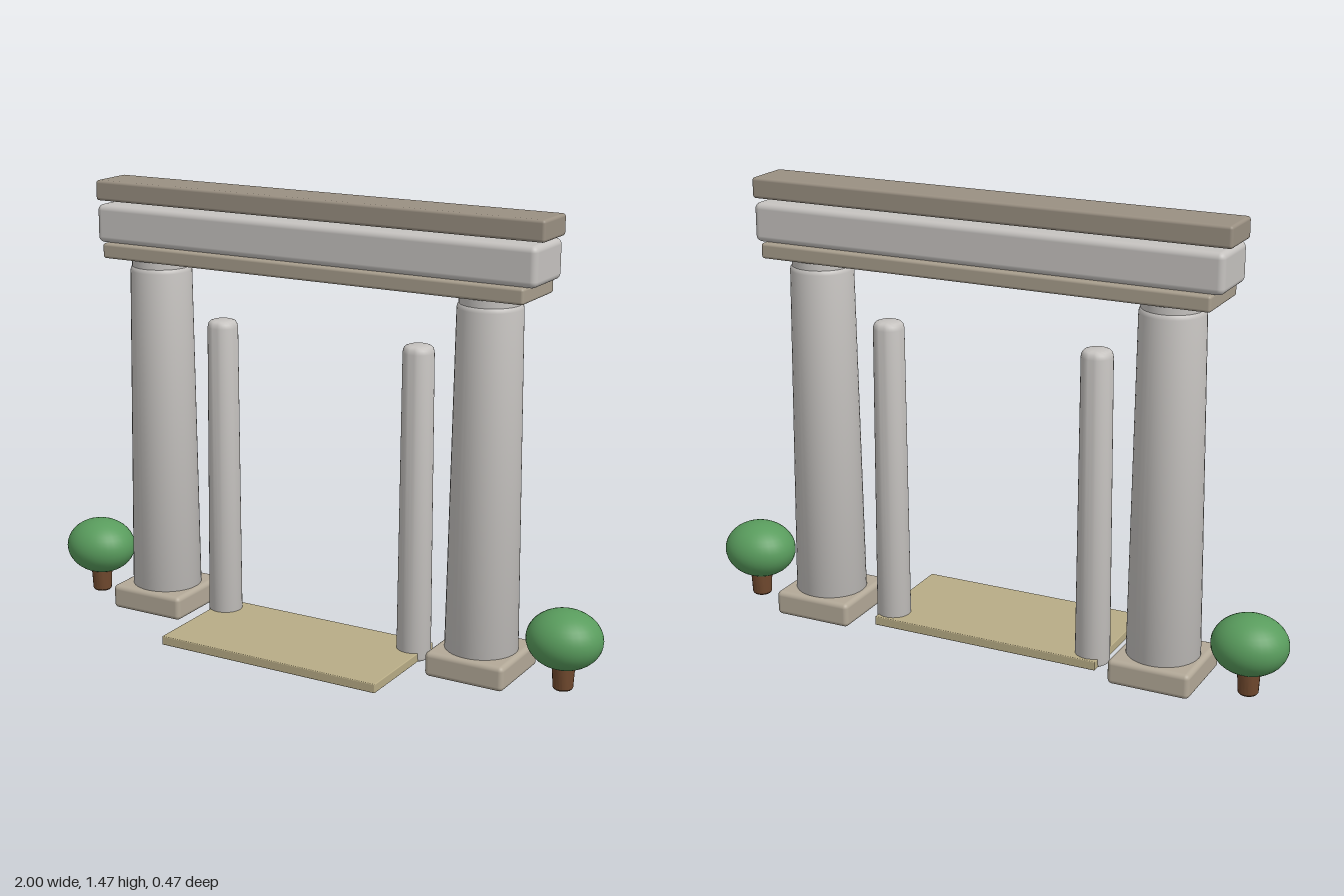
import * as THREE from 'three';
import { RoundedBoxGeometry } from 'three/addons/geometries/RoundedBoxGeometry.js';
import { toCreasedNormals } from 'three/addons/utils/BufferGeometryUtils.js';

const Z = -0.098; // centre line of the gateway

const material = (color) => new THREE.MeshStandardMaterial({ color });
const stone = material(0xc6c3c0);
const baseStone = material(0xb3a998);
const trimStone = material(0xa89e8d);
const capStone = material(0x9a9082);
const matting = material(0xb8ac86);
const bark = material(0x70492e);
const leaf = material(0x599c5d);

function part(name, geometry, mat, x, y, z) {
  const mesh = new THREE.Mesh(geometry, mat);
  mesh.name = name;
  mesh.position.set(x, y, z);
  return mesh;
}

// Soft-edged block given by its size and its bottom height
function block(name, mat, w, h, d, bottom, radius, x = 0, z = Z) {
  return part(name, new RoundedBoxGeometry(w, h, d, 3, radius), mat, x, bottom + h / 2, z);
}

// Turned shape from [radius, height] pairs, bottom to top
function turned(profile, sides) {
  const points = profile.map(([r, y]) => new THREE.Vector2(r, y));
  return toCreasedNormals(new THREE.LatheGeometry(points, sides), 0.6);
}

export function createModel() {
  const group = new THREE.Group();
  group.name = 'gateway';

  const columnShape = turned([
    [0, 0], [0.1, 0], [0.112, 0.005], [0.118, 0.017], [0.102, 1.18],
    [0.1, 1.189], [0.096, 1.194], [0.096, 1.225], [0, 1.225],
  ], 40);
  const poleShape = turned([
    [0, 0.002], [0.045, 0.002], [0.053, 0.007], [0.056, 0.018], [0.05, 1.012],
    [0.047, 1.025], [0.041, 1.032], [0.033, 1.035], [0, 1.035],
  ], 32);
  const trunkShape = turned([
    [0, 0.005], [0.028, 0.005], [0.032, 0.01], [0.036, 0.08], [0, 0.08],
  ], 20);
  const crownShape = new THREE.SphereGeometry(1, 32, 20).scale(0.122, 0.095, 0.111);

  // Mirrored pairs
  for (const [side, s] of [['left', 1], ['right', -1]]) {
    group.add(block(`${side}ColumnBase`, baseStone, 0.27, 0.082, 0.27, 0.005, 0.016, s * 0.598));
    group.add(part(`${side}Column`, columnShape, stone, s * 0.598, 0, Z));
    group.add(part(`${side}Pole`, poleShape, stone, s * 0.359, 0, Z));

    const bush = new THREE.Group();
    bush.name = `${side}Bush`;
    bush.position.set(s * 0.878, 0, Z);
    bush.add(part('trunk', trunkShape, bark, 0, 0, 0));
    bush.add(part('crown', crownShape, leaf, 0, 0.168, 0));
    group.add(bush);
  }

  // Stacked lintel
  group.add(block('lowerLintel', trimStone, 1.506, 0.05, 0.226, 1.22, 0.009));
  group.add(block('middleLintel', stone, 1.57, 0.126, 0.198, 1.268, 0.02));
  group.add(block('topLintel', capStone, 1.6, 0.067, 0.16, 1.403, 0.01));

  // Threshold slab in front of and between the poles
  group.add(block('threshold', matting, 0.79, 0.03, 0.4, 0.005, 0.003, 0, 0.035));

  return group;
}
